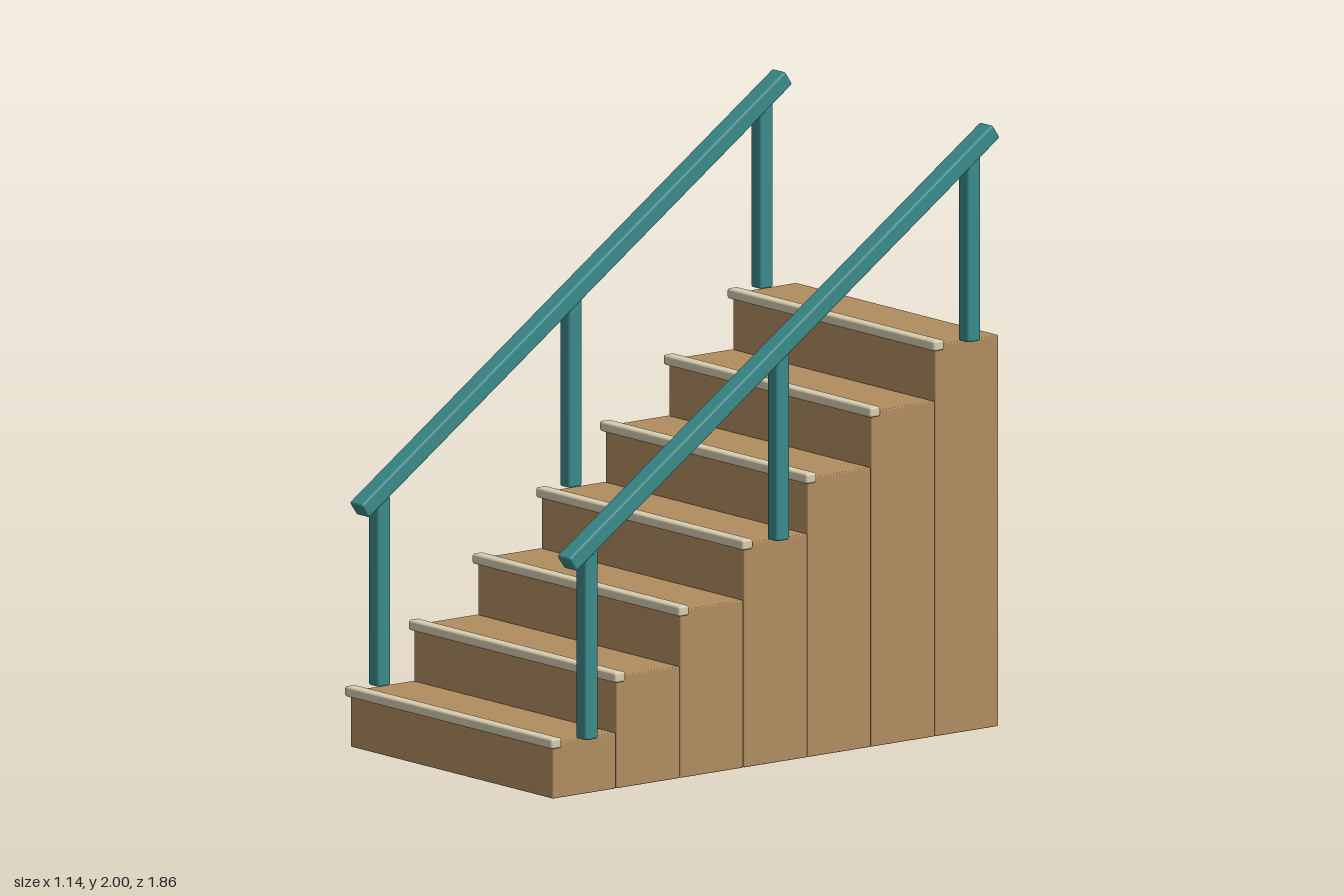
import * as THREE from 'three';
import { RoundedBoxGeometry } from 'three/addons/geometries/RoundedBoxGeometry.js';

const STEPS = 7, RISE = 0.1845, RUN = 0.2632, FRONT = 0.914;
const wood = new THREE.MeshStandardMaterial({ color: 0xb08d60 });
const cream = new THREE.MeshStandardMaterial({ color: 0xd6cdb0 });
const teal = new THREE.MeshStandardMaterial({ color: 0x3a8a8a });

// Softly bevelled block centred at x, y, z
function block(parent, name, material, [w, h, d], [x, y, z], bevel) {
  const mesh = new THREE.Mesh(new RoundedBoxGeometry(w, h, d, 2, bevel), material);
  mesh.name = name;
  mesh.position.set(x, y, z);
  parent.add(mesh);
  return mesh;
}

export function createModel() {
  const model = new THREE.Group();
  model.name = 'staircase';

  // Solid steps, each reaching the ground, with a nosing strip on the front edge
  for (let i = 0; i < STEPS; i++) {
    const top = RISE * (i + 1);
    const front = FRONT - RUN * i;
    block(model, 'step', wood, [1.05, top, RUN - 0.002], [0, top / 2, front - RUN / 2], 0.004);
    block(model, 'nosing', cream, [1.076, 0.034, 0.043], [0, top - 0.001, front - 0.007], 0.008);
  }

  // A handrail on each side, carried by three posts
  for (const side of [-1, 1]) {
    const railing = new THREE.Group();
    railing.name = side > 0 ? 'leftRailing' : 'rightRailing';
    const x = side * 0.538;
    for (const i of [0, 3, 6]) {
      const base = RISE * (i + 1);
      const z = FRONT - RUN * (i + 0.5);
      block(railing, 'post', teal, [0.053, 0.625, 0.053], [x, base + 0.3125, z], 0.008);
    }
    const rail = block(railing, 'handrail', teal, [0.067, 0.056, 2.124], [x, 1.3745, -0.008], 0.008);
    rail.rotation.x = Math.atan2(1.205, 1.749);
    model.add(railing);
  }
  return model;
}
